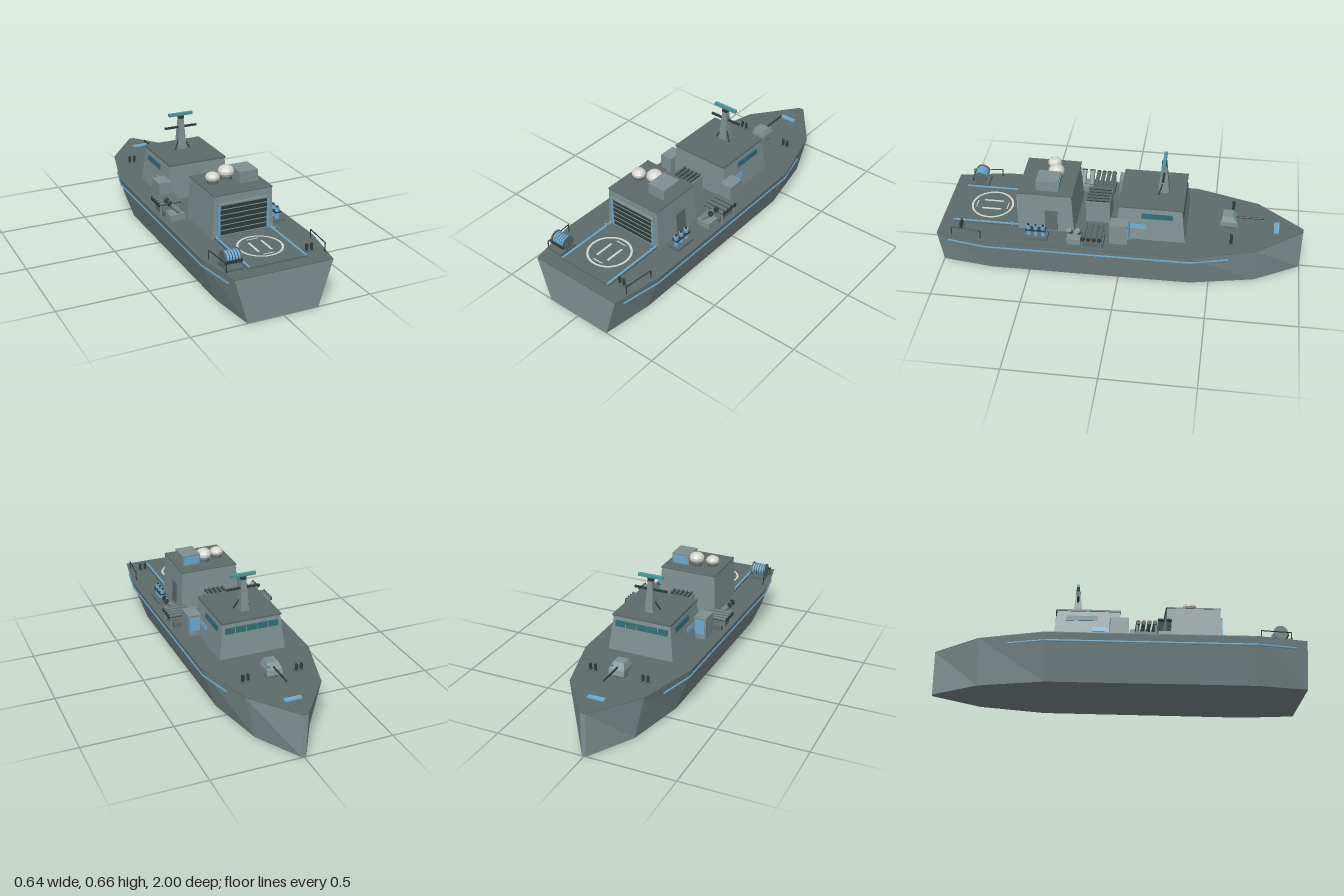
import * as THREE from 'three';

const mat = (name, color) => Object.assign(new THREE.MeshStandardMaterial({ color }), { name });

export function createModel() {
  const ship = new THREE.Group();
  ship.name = 'patrolShip';
  const grey = mat('hullGrey', 0x7f9192), deckGrey = mat('deckGrey', 0x5d6d6c);
  const dark = mat('darkGreen', 0x2f3d3c), blue = mat('lightBlue', 0x6cacd2);
  const teal = mat('teal', 0x4a9a9c), glass = mat('windowGlass', 0x2f6c74);
  const white = mat('radomeWhite', 0xd6d6d0);

  const add = (name, geo, m, x = 0, y = 0, z = 0) => {
    const mesh = new THREE.Mesh(geo, m);
    mesh.name = name;
    mesh.position.set(x, y, z);
    ship.add(mesh);
    return mesh;
  };
  // Box given by its limits on each axis
  const box = (name, m, x0, x1, y0, y1, z0, z1) => add(name,
    new THREE.BoxGeometry(x1 - x0, y1 - y0, z1 - z0), m, (x0 + x1) / 2, (y0 + y1) / 2, (z0 + z1) / 2);
  // Tapered block: [half width, z back, z front] at the bottom and the top
  const taper = (name, m, y0, y1, bottom, top) => {
    const g = new THREE.BoxGeometry(1, 1, 1).toNonIndexed(), p = g.attributes.position;
    for (let i = 0; i < p.count; i++) {
      const up = p.getY(i) > 0, [w, zb, zf] = up ? top : bottom;
      p.setXYZ(i, Math.sign(p.getX(i)) * w, up ? y1 : y0, p.getZ(i) > 0 ? zf : zb);
    }
    g.computeVertexNormals();
    return add(name, g, m);
  };
  // Bar between two points, square or round
  const bar = (name, m, a, b, r, sides = 10) => {
    const A = new THREE.Vector3(...a), B = new THREE.Vector3(...b), d = B.clone().sub(A);
    const mesh = add(name, new THREE.CylinderGeometry(r, r, d.length(), sides), m);
    mesh.position.copy(A).add(B).multiplyScalar(0.5);
    mesh.quaternion.setFromUnitVectors(new THREE.Vector3(0, 1, 0), d.normalize());
    return mesh;
  };

  // Hull: deck outline extruded, narrowing to the keel
  const side = [[0.015, -1], [0.21, -0.75], [0.31, -0.4], [0.32, 0.72], [0.27, 1]];
  const outline = new THREE.Shape([
    ...side.map(([x, z]) => new THREE.Vector2(x, -z)),
    ...side.slice().reverse().map(([x, z]) => new THREE.Vector2(-x, -z))]);
  const slab = (depth) => new THREE.ExtrudeGeometry(outline, { depth, bevelEnabled: false }).rotateX(-Math.PI / 2);
  const hull = slab(0.246), hp = hull.attributes.position;
  for (let i = 0; i < hp.count; i++) if (hp.getY(i) < 0.1) hp.setX(i, hp.getX(i) * 0.73);
  hull.computeVertexNormals();
  add('hull', hull, grey);
  add('deck', slab(0.004), deckGrey, 0, 0.246, 0);

  // Rubbing strakes along both sides
  const strake = [[0.272, 0.94], [0.308, 0.72], [0.299, -0.4], [0.248, -0.6]];
  for (const s of [-1, 1]) for (let i = 0; i < 3; i++) {
    const [a, b] = [strake[i], strake[i + 1]];
    bar('rubbingStrake', blue, [s * a[0], 0.205, a[1]], [s * b[0], 0.205, b[1]], 0.006, 4);
  }

  // Bridge with windows
  taper('bridge', grey, 0.25, 0.445, [0.188, -0.362, 0.01], [0.165, -0.338, 0.004]);
  box('bridgeRoof', deckGrey, -0.17, 0.17, 0.445, 0.455, -0.347, 0.008);
  for (let i = -2; i <= 2; i++) {
    const w = add('frontWindow', new THREE.BoxGeometry(0.056, 0.034, 0.006), glass, i * 0.062, 0.403, -0.344);
    w.rotation.x = 0.122;
  }
  for (const s of [-1, 1]) {
    add('sideWindow', new THREE.BoxGeometry(0.006, 0.03, 0.17), glass, s * 0.171, 0.4, -0.205).rotation.z = s * 0.117;
    add('sideStripe', new THREE.BoxGeometry(0.006, 0.026, 0.09), blue, s * 0.179, 0.333, -0.105).rotation.z = s * 0.117;
    // Wing lockers beside the bridge
    const x0 = s > 0 ? 0.175 : -0.247;
    box('wingLocker', grey, x0, x0 + 0.072, 0.25, 0.374, -0.055, 0.045);
    box('lockerPanel', blue, x0 + 0.008, x0 + 0.064, 0.28, 0.36, -0.059, -0.054);
  }

  // Mast and radar
  taper('mast', grey, 0.455, 0.63, [0.024, -0.255, -0.195], [0.013, -0.238, -0.21]);
  box('mastCap', dark, -0.014, 0.014, 0.63, 0.647, -0.238, -0.21);
  box('yardarm', dark, -0.095, 0.095, 0.575, 0.585, -0.231, -0.219);
  box('radarAntenna', teal, -0.071, 0.071, 0.647, 0.663, -0.234, -0.216);
  for (const s of [-1, 1]) bar('mastStrut', dark, [s * 0.045, 0.455, -0.2], [s * 0.012, 0.52, -0.22], 0.004, 6);

  // Hangar and roller door
  taper('hangar', grey, 0.25, 0.48, [0.175, 0.25, 0.56], [0.163, 0.262, 0.555]);
  box('hangarRoof', deckGrey, -0.166, 0.166, 0.48, 0.486, 0.256, 0.558);
  box('hangarDoor', dark, -0.133, 0.133, 0.26, 0.43, 0.555, 0.563);
  for (let i = 0; i < 6; i++) box('doorSlat', grey, -0.133, 0.133, 0.262 + i * 0.0285, 0.266 + i * 0.0285, 0.56, 0.566);
  for (const s of [-1, 1]) box('doorFrame', blue, s * 0.139 - 0.006, s * 0.139 + 0.006, 0.26, 0.43, 0.555, 0.567);
  box('doorLintel', grey, -0.146, 0.146, 0.43, 0.439, 0.553, 0.569);
  add('sideDoor', new THREE.BoxGeometry(0.006, 0.125, 0.07), deckGrey, 0.1715, 0.32, 0.375).rotation.z = 0.052;

  // Radomes and roof locker
  for (const [x, z, r, h, y] of [[-0.097, 0.395, 0.039, 0.027, 0.52], [-0.008, 0.37, 0.045, 0.034, 0.529]]) {
    add('radomeBase', new THREE.CylinderGeometry(r * 0.7, r * 0.7, 0.02, 12), deckGrey, x, 0.494, z);
    const dome = new THREE.SphereGeometry(1, 12, 7).toNonIndexed().scale(r, h, r);
    dome.computeVertexNormals();
    add('radome', dome, white, x, y, z);
  }
  box('roofLocker', grey, 0.027, 0.132, 0.486, 0.548, 0.337, 0.46);
  box('roofLockerPanel', blue, 0.035, 0.124, 0.495, 0.538, 0.333, 0.338);

  // Landing pad with touchdown circle and guide bars
  box('landingPad', deckGrey, -0.165, 0.165, 0.25, 0.26, 0.56, 0.93);
  add('touchdownCircle', new THREE.RingGeometry(0.108, 0.12, 40).rotateX(-Math.PI / 2), white, 0, 0.2615, 0.745);
  for (const s of [-1, 1]) {
    box('guideBar', white, s * 0.036 - 0.006, s * 0.036 + 0.006, 0.259, 0.2615, 0.69, 0.8);
    box('guideTick', white, -0.03, 0.03, 0.259, 0.2615, 0.742 + s * 0.088, 0.748 + s * 0.088);
    box('padEdgeLight', blue, s * 0.157 - 0.005, s * 0.157 + 0.005, 0.258, 0.264, 0.56, 0.93);
    add('padLamp', new THREE.CylinderGeometry(0.007, 0.007, 0.016, 8), blue, s * 0.16, 0.264, 0.6);
    // Stern rail
    bar('railTop', dark, [s * 0.287, 0.298, 0.75], [s * 0.272, 0.298, 0.915], 0.003, 6);
    bar('railPost', dark, [s * 0.287, 0.25, 0.75], [s * 0.287, 0.298, 0.75], 0.003, 6);
    bar('railPost', dark, [s * 0.272, 0.25, 0.915], [s * 0.272, 0.298, 0.915], 0.003, 6);
  }

  // Amidships exhaust housing with a slatted top
  box('exhaustHousing', grey, -0.068, 0.068, 0.25, 0.385, 0.065, 0.2);
  box('exhaustGrille', dark, -0.06, 0.06, 0.385, 0.39, 0.07, 0.195);
  for (let i = -2; i <= 2; i++) box('exhaustSlat', deckGrey, i * 0.026 - 0.004, i * 0.026 + 0.004, 0.385, 0.398, 0.067, 0.198);

  // Side launchers and angled decoy tubes
  for (const s of [-1, 1]) {
    box('launcherBase', deckGrey, s * 0.235 - 0.05, s * 0.235 + 0.05, 0.25, 0.275, 0.075, 0.195);
    for (const z of [0.085, 0.185]) {
      bar('launcherLeg', grey, [s * 0.298, 0.25, z], [s * 0.298, 0.308, z], 0.007, 4);
      bar('launcherLeg', grey, [s * 0.2, 0.25, z], [s * 0.2, 0.308, z], 0.007, 4);
    }
    for (let i = 0; i < 4; i++) {
      const z = 0.09 + i * 0.03;
      bar('launchTube', deckGrey, [s * 0.18, 0.317, z], [s * 0.308, 0.317, z], 0.011);
      bar('launchTubeCap', dark, [s * 0.306, 0.317, z], [s * 0.312, 0.317, z], 0.0125);
    }
    box('decoyBase', grey, s * 0.24 - 0.04, s * 0.24 + 0.04, 0.25, 0.285, 0.2, 0.275);
    for (const z of [0.212, 0.258]) {
      bar('decoyTube', grey, [s * 0.222, 0.29, z], [s * 0.28, 0.35, z], 0.014);
      bar('decoyMuzzle', dark, [s * 0.276, 0.346, z], [s * 0.282, 0.352, z], 0.015);
    }
  }

  // Gas bottle rack
  box('bottleRack', deckGrey, 0.203, 0.27, 0.25, 0.264, 0.385, 0.515);
  for (const z of [0.41, 0.45, 0.49]) {
    bar('gasBottle', blue, [0.236, 0.264, z], [0.236, 0.325, z], 0.013);
    bar('bottleValve', dark, [0.236, 0.325, z], [0.236, 0.334, z], 0.006, 8);
  }
  box('rackRail', dark, 0.218, 0.254, 0.298, 0.304, 0.395, 0.505);

  // Hose reel on the stern quarter
  box('reelBase', deckGrey, -0.268, -0.178, 0.25, 0.264, 0.81, 0.92);
  bar('reelDrum', dark, [-0.26, 0.3, 0.86], [-0.186, 0.3, 0.86], 0.032, 14);
  for (const x of [-0.264, -0.182]) bar('reelFlange', deckGrey, [x - 0.003, 0.3, 0.86], [x + 0.003, 0.3, 0.86], 0.04, 14);
  for (let i = 0; i < 5; i++) bar('hoseCoil', blue, [-0.256 + i * 0.015, 0.3, 0.86], [-0.246 + i * 0.015, 0.3, 0.86], 0.036, 14);
  box('reelBar', dark, -0.268, -0.178, 0.285, 0.3, 0.893, 0.903);

  // Bollard pairs
  for (const [x, z] of [[-0.15, -0.61], [0.15, -0.61], [0.205, 0.875]]) {
    box('bollardBase', deckGrey, x - 0.026, x + 0.026, 0.25, 0.256, z - 0.014, z + 0.014);
    for (const s of [-1, 1]) bar('bollard', dark, [x + s * 0.014, 0.25, z], [x + s * 0.014, 0.29, z], 0.008);
  }

  // Bow gun
  add('gunBase', new THREE.CylinderGeometry(0.036, 0.036, 0.022, 12), deckGrey, 0, 0.261, -0.595);
  taper('gunTurret', grey, 0.272, 0.3, [0.043, -0.645, -0.545], [0.043, -0.635, -0.545]);
  taper('gunTurretTop', grey, 0.3, 0.332, [0.043, -0.635, -0.545], [0.03, -0.61, -0.555]);
  bar('gunBarrel', dark, [0, 0.31, -0.61], [0, 0.31, -0.78], 0.005, 8);
  box('gunSight', teal, 0.024, 0.036, 0.312, 0.322, -0.633, -0.615);

  // Bow fairlead plate
  box('bowPlate', blue, -0.047, 0.047, 0.25, 0.257, -0.868, -0.84);
  return ship;
}
